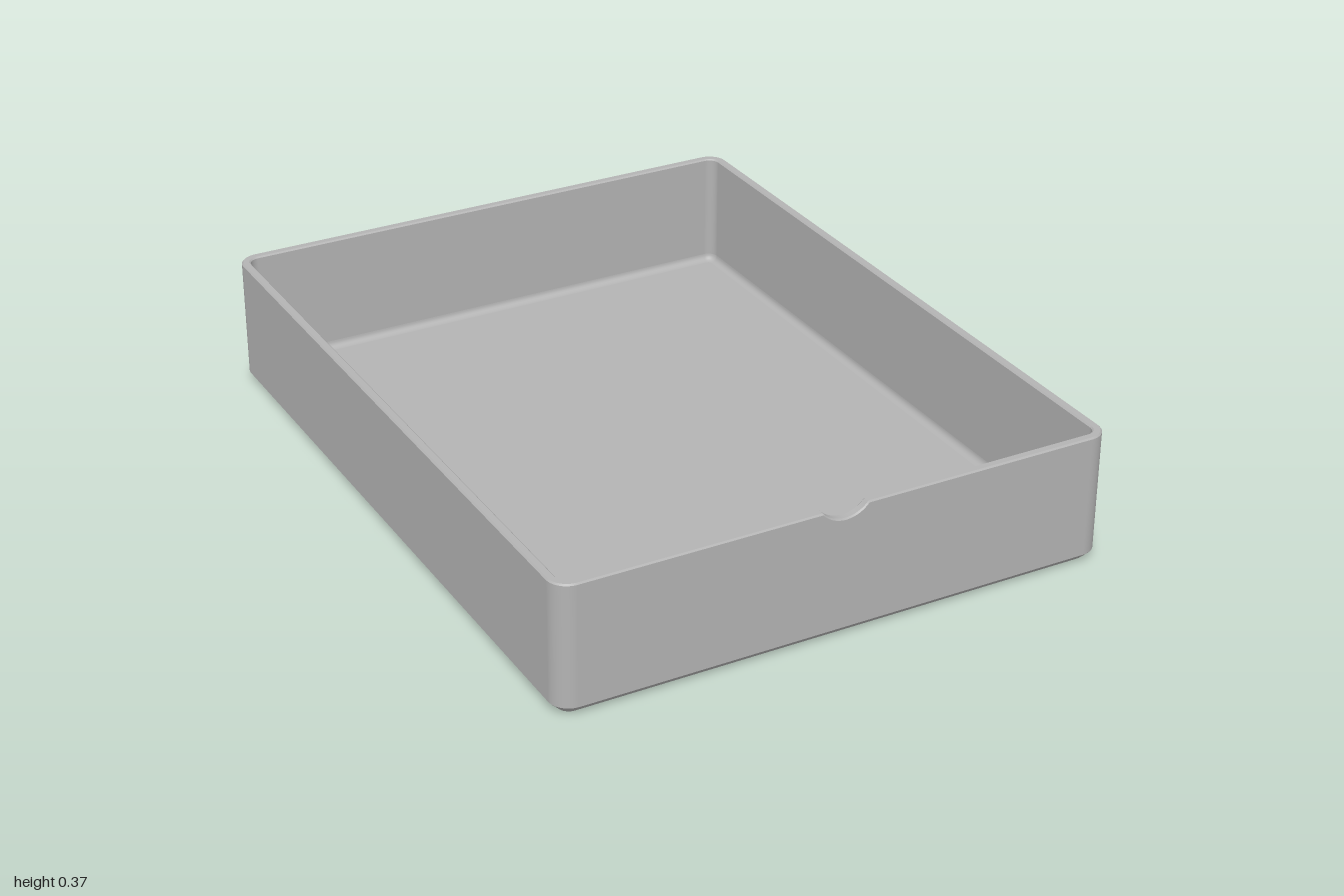
import * as THREE from 'three';

const HALF_W = 0.777, HALF_D = 1, HEIGHT = 0.365;
const WALL = 0.025, FLOOR = 0.03, CORNER = 0.055, FILLET = 0.02, EDGE = 0.004;
const NOTCH_HALF = 0.065, NOTCH_R = 0.085, NOTCH_DEPTH = 0.03;

// How far the rim dips at x inside the finger notch
const notchDip = (x) => Math.abs(x) >= NOTCH_HALF ? 0
  : Math.max(0, Math.sqrt(NOTCH_R ** 2 - x ** 2) - (NOTCH_R - NOTCH_DEPTH));

// Rounded rectangle at a given inset; inset null collapses it to the centre
function ring([inset, y, rim]) {
  const points = [];
  const add = (x, z, dip = 0) => points.push(inset === null ? [0, y, 0] : [x, y - dip, z]);
  const r = Math.max(CORNER - inset, 0.01);
  const w = HALF_W - inset, d = HALF_D - inset, steps = 10;
  for (let q = 0; q < 4; q++) {
    const sx = q === 0 || q === 3 ? 1 : -1, sz = q < 2 ? 1 : -1;
    for (let i = 0; i <= steps; i++) {
      const a = (q + i / steps) * Math.PI / 2;
      add(sx * (w - r) + r * Math.cos(a), sz * (d - r) + r * Math.sin(a));
    }
    // Extra points along the front edge for the notch
    if (q === 0) for (let i = 0; i <= 20; i++) {
      const x = NOTCH_HALF * (1 - i / 10);
      add(x, d, rim ? notchDip(x) : 0);
    }
  }
  return points;
}

// Surface through consecutive rings, smooth within itself
function band(profile) {
  const rings = profile.map(ring), n = rings[0].length, index = [];
  for (let k = 0; k < rings.length - 1; k++) {
    for (let j = 0; j < n; j++) {
      const a = k * n + j, b = k * n + (j + 1) % n;
      index.push(a, a + n, b, b, a + n, b + n);
    }
  }
  const geometry = new THREE.BufferGeometry();
  geometry.setAttribute('position', new THREE.Float32BufferAttribute(rings.flat(2), 3));
  geometry.setIndex(index);
  geometry.computeVertexNormals();
  return geometry;
}

export function createModel() {
  const group = new THREE.Group();
  group.name = 'tray';
  const grey = new THREE.MeshStandardMaterial({ color: 0xb3b3b3 });
  grey.name = 'grey';

  // Quarter-round between the inner wall and the floor
  const fillet = Array.from({ length: 7 }, (_, i) => {
    const a = i / 6 * Math.PI / 2;
    return [WALL + FILLET * (1 - Math.cos(a)), FLOOR + FILLET * (1 - Math.sin(a))];
  });
  const low = HEIGHT - EDGE;

  // Profiles run from the underside, up the outside, over the rim and down inside
  const parts = {
    underside: [[null, 0], [0.025, 0]],
    bottomChamfer: [[0.025, 0], [0, 0.025]],
    outerWall: [[0, 0.025], [0, low, true]],
    outerRimEdge: [[0, low, true], [EDGE, HEIGHT, true]],
    rim: [[EDGE, HEIGHT, true], [WALL - EDGE, HEIGHT, true]],
    innerRimEdge: [[WALL - EDGE, HEIGHT, true], [WALL, low, true]],
    innerWall: [[WALL, low, true], fillet[0]],
    floorFillet: fillet,
    floor: [fillet[6], [null, FLOOR]],
  };
  for (const [name, profile] of Object.entries(parts)) {
    const mesh = new THREE.Mesh(band(profile), grey);
    mesh.name = name;
    group.add(mesh);
  }
  return group;
}
